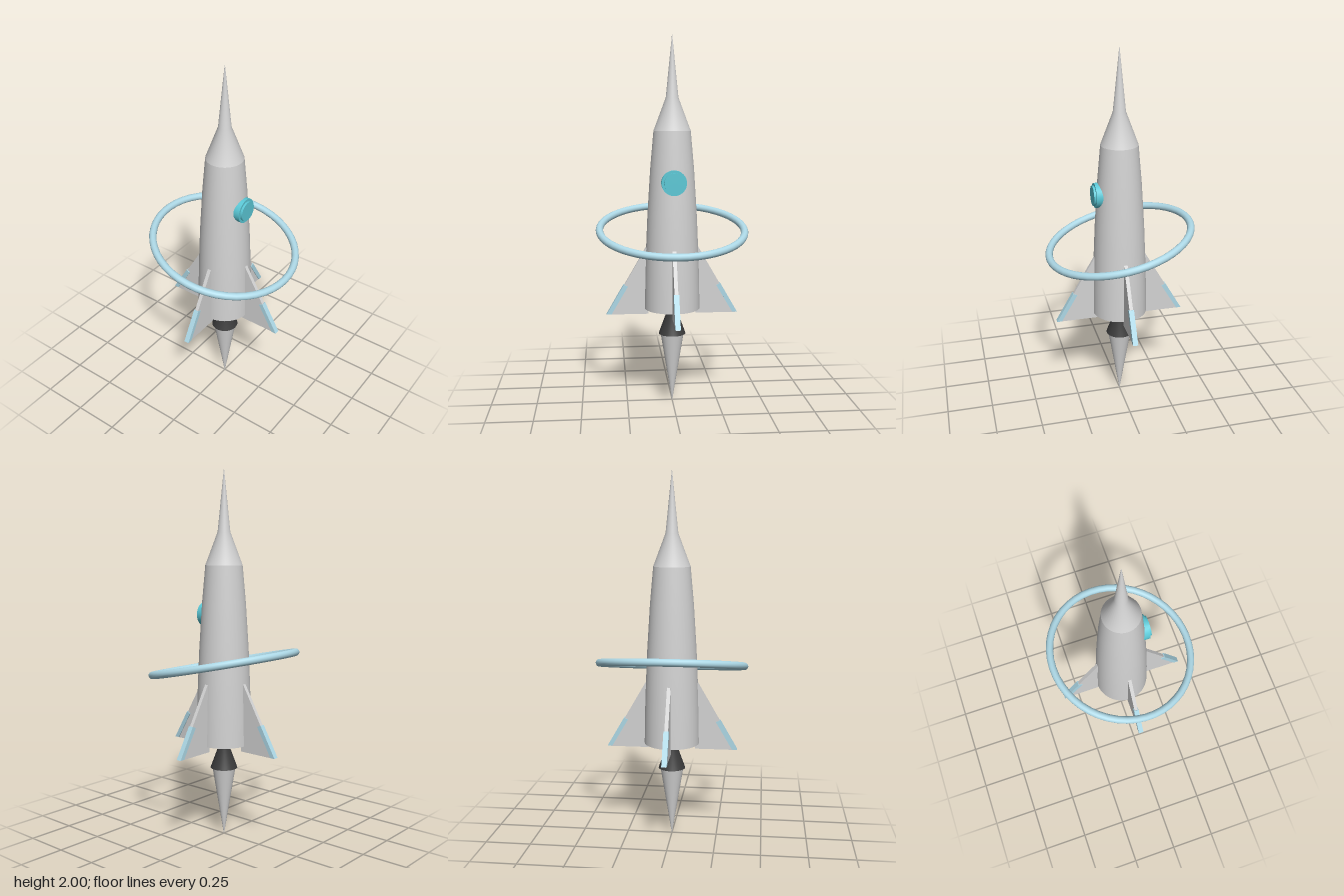
import * as THREE from 'three';

const paint = (name, color) => {
  const m = new THREE.MeshStandardMaterial({ color });
  m.name = name;
  return m;
};

export function createModel() {
  const hull = paint('hull grey', 0xd3d3d3);
  const blue = paint('light blue', 0xadd8e6);
  const glass = paint('porthole teal', 0x5bc8d6);
  const dark = paint('nozzle charcoal', 0x3c3c3c);

  const rocket = new THREE.Group();
  rocket.name = 'rocket';

  const add = (name, geometry, material, parent = rocket) => {
    const mesh = new THREE.Mesh(geometry, material);
    mesh.name = name;
    parent.add(mesh);
    return mesh;
  };
  // Profile points are [radius, height], bottom to top
  const lathe = (points, sides = 40) =>
    new THREE.LatheGeometry(points.map(([r, y]) => new THREE.Vector2(r, y)), sides);
  const disc = (name, r, y, material, up = false) => {
    const d = add(name, new THREE.CircleGeometry(r, 40), material);
    d.rotation.x = up ? -Math.PI / 2 : Math.PI / 2;
    d.position.y = y;
  };

  // Hull and nose
  add('body', lathe([[0.151, 0.53], [0.148, 0.7], [0.142, 0.87], [0.134, 1.05], [0.118, 1.3], [0.1, 1.5]]), hull);
  disc('bodyBase', 0.151, 0.53, hull);
  add('nose', lathe([[0.1, 1.5], [0.034, 1.675], [0.001, 2]]), hull);

  // Engine nozzle and exhaust cone
  add('nozzle', lathe([[0.074, 0.385], [0.036, 0.49], [0.046, 0.512], [0.046, 0.53]]), dark);
  disc('nozzleBase', 0.074, 0.385, dark);
  add('exhaust', lathe([[0.001, 0], [0.064, 0.385]]), hull);

  // Tilted ring, lower at the front
  const ring = add('ring', new THREE.TorusGeometry(0.394, 0.02, 14, 48), blue);
  ring.rotation.x = Math.PI / 2 + 0.214;
  ring.position.y = 0.967;

  // Porthole: stepped rim and pane facing the front
  const porthole = new THREE.Group();
  porthole.name = 'porthole';
  porthole.position.set(0, 1.23, 0.1);
  porthole.rotation.x = Math.PI / 2;
  rocket.add(porthole);
  for (const [name, r, top] of [['rim', 0.067, 0.037], ['pane', 0.054, 0.048]]) {
    const part = add(name, new THREE.CylinderGeometry(r, r, top, 32), glass, porthole);
    part.position.y = top / 2;
  }

  // Four fins with blue edge trims
  const plate = (corners, thickness) => {
    const shape = new THREE.Shape(corners.map(([x, y]) => new THREE.Vector2(x, y)));
    return new THREE.ExtrudeGeometry(shape, { depth: thickness, bevelEnabled: false })
      .translate(0, 0, -thickness / 2);
  };
  const finShape = plate([[0.13, 0.5], [0.357, 0.5], [0.143, 0.87], [0.13, 0.87]], 0.02);
  const trimShape = plate([[0.333, 0.502], [0.36, 0.502], [0.266, 0.665], [0.243, 0.655]], 0.028);
  for (let i = 0; i < 4; i++) {
    const fin = new THREE.Group();
    fin.name = 'fin' + (i + 1);
    fin.rotation.y = i * Math.PI / 2;
    add('finPlate', finShape, hull, fin);
    add('finTrim', trimShape, blue, fin);
    rocket.add(fin);
  }
  return rocket;
}
